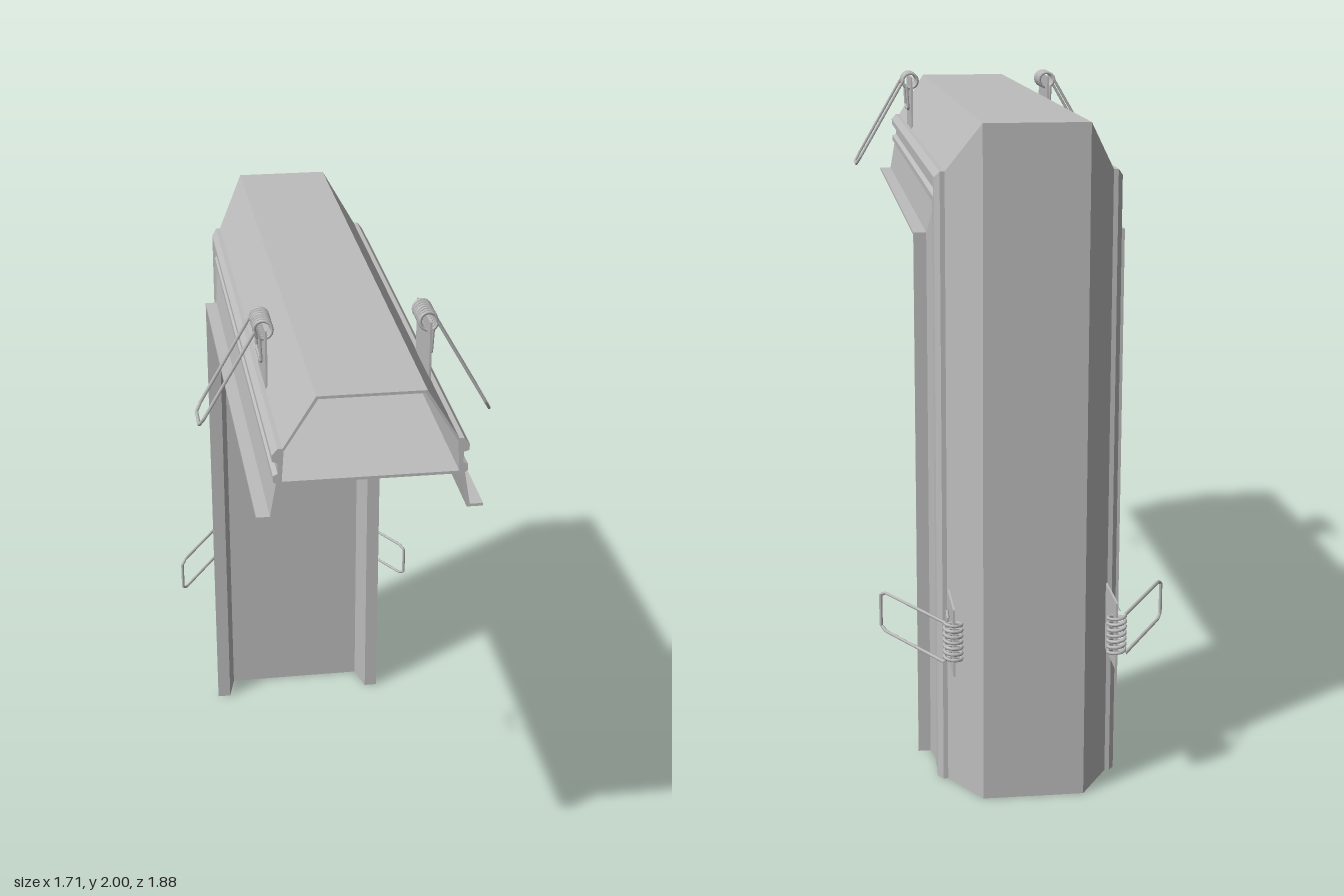
import * as THREE from 'three';

const END = 0.967;      // free end of the horizontal arm
const INNER = -0.633;   // inner flange plane of the vertical arm
const BASE = 1.605;     // inner flange plane of the horizontal arm
const DEPTH = 0.35;     // profile depth, flange to outer face

const metal = new THREE.MeshStandardMaterial({ color: 0xbdbdbd });
metal.name = 'aluminium grey';

// Sweeps a closed outline of [width, depth] points round the mitred L-shaped path
function mitredSweep(name, outline) {
  let pts = outline.map(([w, d]) => new THREE.Vector2(w, d));
  if (THREE.ShapeUtils.area(pts) < 0) pts.reverse();
  const n = pts.length;
  const pos = [];
  for (const p of pts) pos.push(END, BASE + p.y, p.x);
  for (const p of pts) pos.push(INNER - p.y, BASE + p.y, p.x);
  for (const p of pts) pos.push(INNER - p.y, 0, p.x);
  const index = [];
  for (let k = 0; k < 2; k++) {
    for (let i = 0; i < n; i++) {
      const a = k * n + i, b = k * n + (i + 1) % n;
      index.push(a, b, b + n, a, b + n, a + n);
    }
  }
  for (const [a, b, c] of THREE.ShapeUtils.triangulateShape(pts, [])) {
    index.push(a, c, b, a + 2 * n, b + 2 * n, c + 2 * n);
  }
  let geo = new THREE.BufferGeometry();
  geo.setAttribute('position', new THREE.Float32BufferAttribute(pos, 3));
  geo.setIndex(index);
  geo = geo.toNonIndexed();
  geo.computeVertexNormals();
  const mesh = new THREE.Mesh(geo, metal);
  mesh.name = name;
  return mesh;
}

// Position at distance s from the outer corner along an arm
function place(vertical, s, w, d) {
  return vertical
    ? new THREE.Vector3(INNER - d, BASE + DEPTH - s, w)
    : new THREE.Vector3(INNER - DEPTH + s, BASE + d, w);
}

function wire(name, points, segments) {
  const path = new THREE.CurvePath();
  for (let i = 1; i < points.length; i++) path.add(new THREE.LineCurve3(points[i - 1], points[i]));
  const mesh = new THREE.Mesh(new THREE.TubeGeometry(path, segments, 0.005, 6), metal);
  mesh.name = name;
  return mesh;
}

// Spring clip: plate, coil, long sprung loop and short loop lying on the plate
function springClip(vertical, side) {
  const clip = new THREE.Group();
  clip.name = 'springClip';
  const S = 1.458, W = 0.235, D = 0.365, R = 0.025, H = 0.06;
  const at = (s, w, d) => place(vertical, S + s, side * w, d);

  const plateH = 0.2;
  const plate = new THREE.Mesh(
    new THREE.BoxGeometry(vertical ? plateH : 0.2, vertical ? 0.2 : plateH, 0.006), metal);
  plate.name = 'clipPlate';
  plate.position.copy(at(0, W - 0.002, 0.28));
  clip.add(plate);

  const turns = 7, steps = turns * 14, coil = [];
  for (let i = 0; i <= steps; i++) {
    const a = (i / steps) * turns * Math.PI * 2;
    coil.push(at(-H + 2 * H * i / steps, W + R * Math.cos(a), D + R * Math.sin(a)));
  }
  const helix = new THREE.Mesh(
    new THREE.TubeGeometry(new THREE.CatmullRomCurve3(coil), steps, 0.005, 6), metal);
  helix.name = 'springCoil';
  clip.add(helix);

  const loop = (w0, d0, w1, d1) => {
    const k = 0.92; // start of the rounded corners
    const w = w0 + (w1 - w0) * k, d = d0 + (d1 - d0) * k;
    return [at(-H, w0, d0), at(-H, w, d), at(-H * 0.8, w1, d1),
      at(H * 0.8, w1, d1), at(H, w, d), at(H, w0, d0)];
  };
  clip.add(wire('springLoop', loop(W + R, D, 0.423, 0.085), 80));
  clip.add(wire('shortLoop', loop(W + 0.012, D - 0.02, W + 0.008, 0.27), 40));
  return clip;
}

export function createModel() {
  const model = new THREE.Group();
  model.name = 'cornerProfile';
  const body = new THREE.Group();
  body.name = 'profileBody';
  body.rotation.y = -THREE.MathUtils.degToRad(50);
  model.add(body);

  // Hollow trapezoid channel
  body.add(mitredSweep('housing', [
    [-0.24, 0.2], [-0.147, DEPTH], [0.147, DEPTH], [0.24, 0.2],
    [0.232, 0.2], [0.142, DEPTH - 0.008], [-0.142, DEPTH - 0.008], [-0.232, 0.2],
  ]));

  // Panel closing the channel
  body.add(mitredSweep('innerPanel', [
    [-0.245, 0.102], [0.245, 0.102], [0.245, 0.11], [-0.245, 0.11],
  ]));

  // Ribbed side rails with flared lip and flange
  const rail = [
    [0.264, 0], [0.309, 0], [0.309, 0.008], [0.272, 0.008],
    [0.255, 0.105], [0.263, 0.11], [0.263, 0.128], [0.25, 0.134],
    [0.25, 0.165], [0.265, 0.17], [0.265, 0.188], [0.25, 0.206],
    [0.233, 0.206], [0.24, 0.1],
  ];
  for (const side of [-1, 1]) {
    body.add(mitredSweep(side > 0 ? 'frontRail' : 'rearRail', rail.map(([w, d]) => [side * w, d])));
    for (const vertical of [false, true]) body.add(springClip(vertical, side));
  }
  return model;
}
